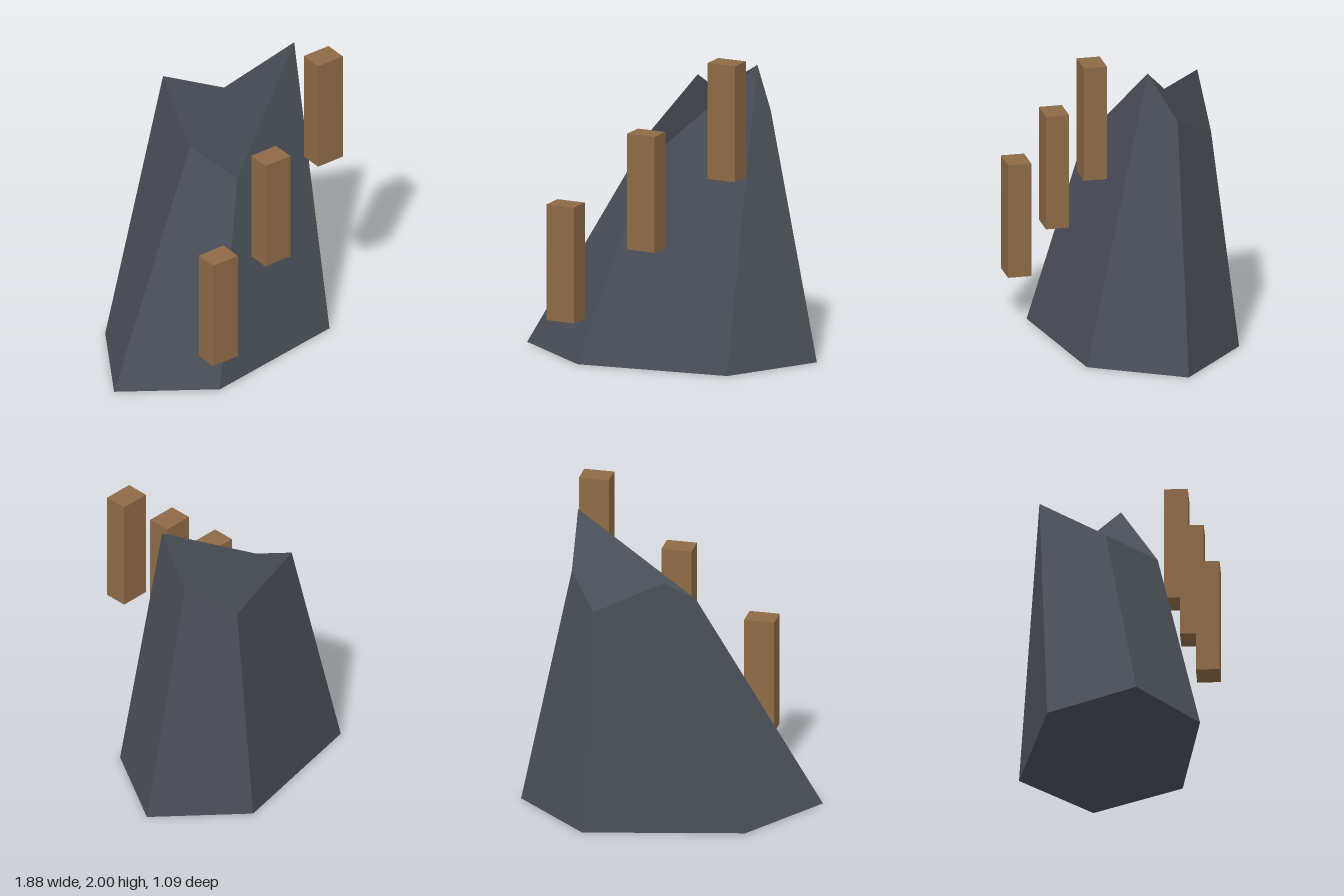
import * as THREE from 'three';

const stone = new THREE.MeshStandardMaterial({ color: 0x4b4f58 });
stone.name = 'slate stone';
const wood = new THREE.MeshStandardMaterial({ color: 0x8e6a46 });
wood.name = 'brown wood';

// Crag: six-sided base and uneven six-sided summit, running left, front, right, back
const base = [
  [-0.94, 0, -0.08], [-0.5, 0, 0.41], [0.475, 0, 0.49],
  [0.935, 0, 0.015], [0.56, 0, -0.53], [-0.455, 0, -0.55],
];
const summit = [
  [-0.15, 1.4, -0.12], [-0.1, 1.28, 0.22], [0.58, 1.91, 0.12],
  [0.62, 1.575, -0.07], [0.49, 1.42, -0.37], [0.05, 1.67, -0.5],
];

function buildRock() {
  const positions = [];
  const normals = [];
  // Each facet has one normal, taken from its first triangle
  const facet = (triangles) => {
    const [a, b, c] = triangles[0].map((p) => new THREE.Vector3(...p));
    const n = new THREE.Triangle(a, b, c).getNormal(new THREE.Vector3());
    for (const p of triangles.flat()) {
      positions.push(...p);
      normals.push(n.x, n.y, n.z);
    }
  };

  // Side walls
  for (let i = 0; i < 6; i++) {
    const j = (i + 1) % 6;
    facet([[base[i], base[j], summit[j]], [base[i], summit[j], summit[i]]]);
  }
  // Folded summit and flat underside
  const fan = [[0, 2, 4], [0, 1, 2], [2, 3, 4], [4, 5, 0]];
  facet(fan.map((t) => t.map((i) => summit[i])));
  facet(fan.map(([a, b, c]) => [base[a], base[c], base[b]]));

  const geometry = new THREE.BufferGeometry();
  geometry.setAttribute('position', new THREE.Float32BufferAttribute(positions, 3));
  geometry.setAttribute('normal', new THREE.Float32BufferAttribute(normals, 3));
  return geometry;
}

export function createModel() {
  const model = new THREE.Group();
  model.name = 'cragWithPosts';

  const rock = new THREE.Mesh(buildRock(), stone);
  rock.name = 'rock';
  model.add(rock);

  // Three wooden posts climbing along the front
  const postGeometry = new THREE.BoxGeometry(0.192, 0.742, 0.148);
  for (let i = 0; i < 3; i++) {
    const post = new THREE.Mesh(postGeometry, wood);
    post.name = `post${i + 1}`;
    post.position.set(-0.565 + i * 0.514, 0.665 + i * 0.482, 0.45);
    post.rotation.y = -0.24;
    model.add(post);
  }
  return model;
}
